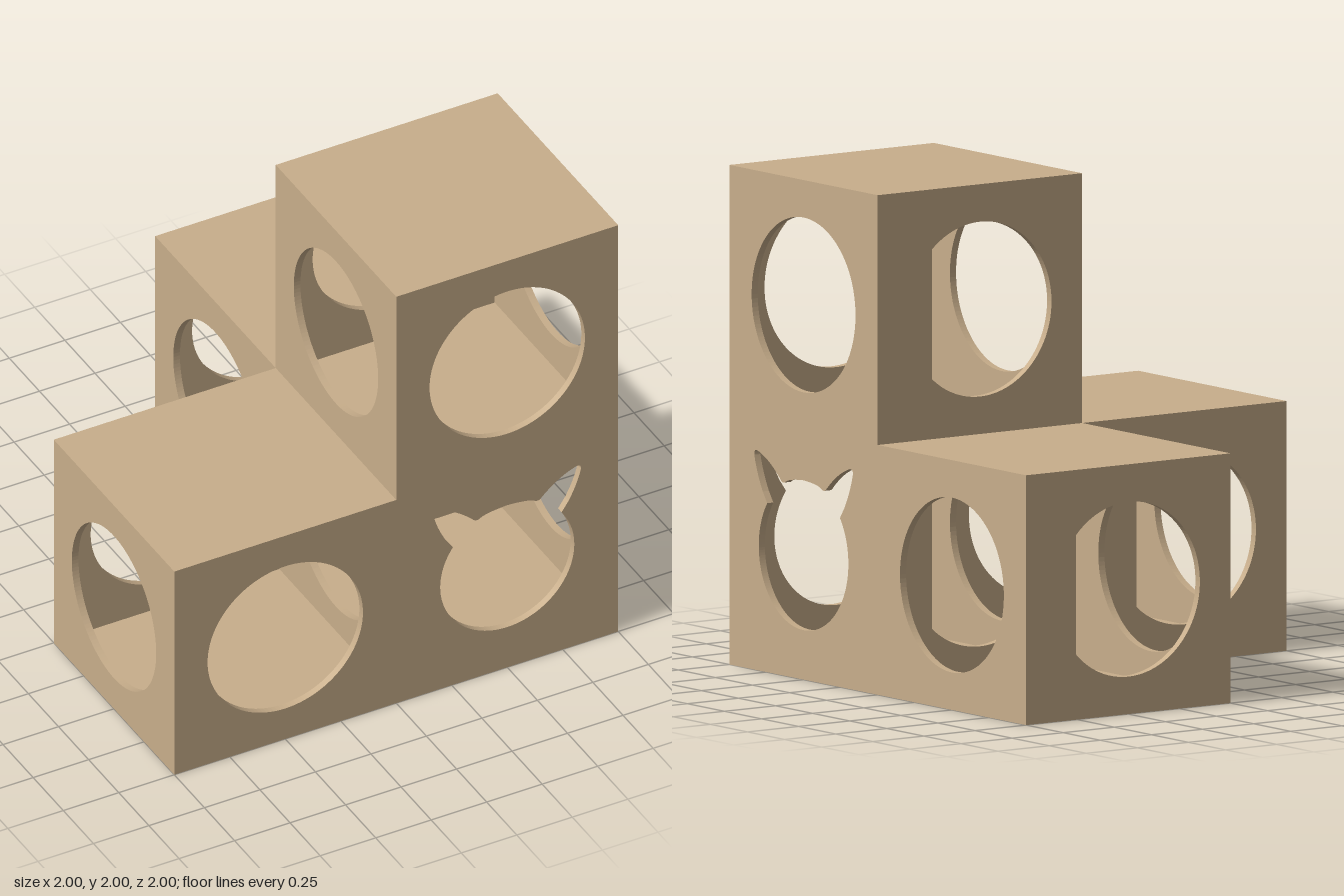
import * as THREE from 'three';

const T = 0.03; // sheet thickness

const circleHole = (cx, cy) => {
  const p = new THREE.Path();
  p.absarc(cx, cy, 0.35, 0, Math.PI * 2, true);
  return p;
};

// Round opening with two pointed ears
const earedHole = (cx, cy) => {
  const p = new THREE.Path();
  const a = 0.625; // angle where the ears leave the circle
  p.absarc(cx, cy, 0.302, Math.PI - a, a, false);
  p.lineTo(cx + 0.275, cy + 0.22);
  p.quadraticCurveTo(cx + 0.315, cy + 0.29, cx + 0.332, cy + 0.36);
  p.quadraticCurveTo(cx + 0.335, cy + 0.385, cx + 0.31, cy + 0.38);
  p.quadraticCurveTo(cx + 0.23, cy + 0.355, cx + 0.155, cy + 0.282);
  p.quadraticCurveTo(cx + 0.14, cy + 0.265, cx + 0.12, cy + 0.278);
  p.quadraticCurveTo(cx + 0.095, cy + 0.293, cx, cy + 0.298);
  p.quadraticCurveTo(cx - 0.095, cy + 0.293, cx - 0.12, cy + 0.278);
  p.quadraticCurveTo(cx - 0.14, cy + 0.265, cx - 0.155, cy + 0.282);
  p.quadraticCurveTo(cx - 0.23, cy + 0.355, cx - 0.31, cy + 0.38);
  p.quadraticCurveTo(cx - 0.335, cy + 0.385, cx - 0.332, cy + 0.36);
  p.quadraticCurveTo(cx - 0.315, cy + 0.29, cx - 0.275, cy + 0.22);
  p.closePath();
  return p;
};

const outline = (pts) => new THREE.Shape(pts.map(([x, y]) => new THREE.Vector2(x, y)));
const square = (x, y) => [[x, y], [x + 1, y], [x + 1, y + 1], [x, y + 1]];
const wallL = [[-1, 0], [1, 0], [1, 2], [0, 2], [0, 1], [-1, 1]];
const floorL = [[0, -1], [1, -1], [1, 1], [-1, 1], [-1, 0], [0, 0]];

export function createModel() {
  const group = new THREE.Group();
  const wood = new THREE.MeshStandardMaterial({ color: 0xc8ae8b });
  wood.name = 'tan wood';

  // axis is the sheet's normal; the sheet fills at - T .. at along it
  const addSheet = (name, axis, at, pts, holes = []) => {
    const shape = outline(pts);
    shape.holes.push(...holes);
    const geo = new THREE.ExtrudeGeometry(shape, { depth: T, bevelEnabled: false, curveSegments: 64 });
    if (axis === 'x') geo.rotateY(-Math.PI / 2).translate(at, 0, 0);
    if (axis === 'y') geo.rotateX(Math.PI / 2).translate(0, at, 0);
    if (axis === 'z') geo.translate(0, 0, at - T);
    const mesh = new THREE.Mesh(geo, wood);
    mesh.name = name;
    group.add(mesh);
  };

  // Upright sheets: the same set faces z and x
  for (const [axis, outer, inner, end] of [
    ['z', 'frontWall', 'middleBackWall', 'rearEndWall'],
    ['x', 'sideWall', 'middleSideWall', 'farEndWall'],
  ]) {
    addSheet(outer, axis, 1, wallL, [circleHole(-0.5, 0.5), circleHole(0.5, 1.5), earedHole(0.5, 0.5)]);
    addSheet(inner, axis, T, wallL, [circleHole(-0.5, 0.5), circleHole(0.5, 1.5), circleHole(0.5, 0.5)]);
    addSheet(end, axis, -1 + T, square(0, 0), [circleHole(0.5, 0.5)]);
  }

  // Level sheets
  addSheet('floor', 'y', T, floorL);
  addSheet('middleShelf', 'y', 1, floorL);
  addSheet('roof', 'y', 2, square(0, 0));

  return group;
}
